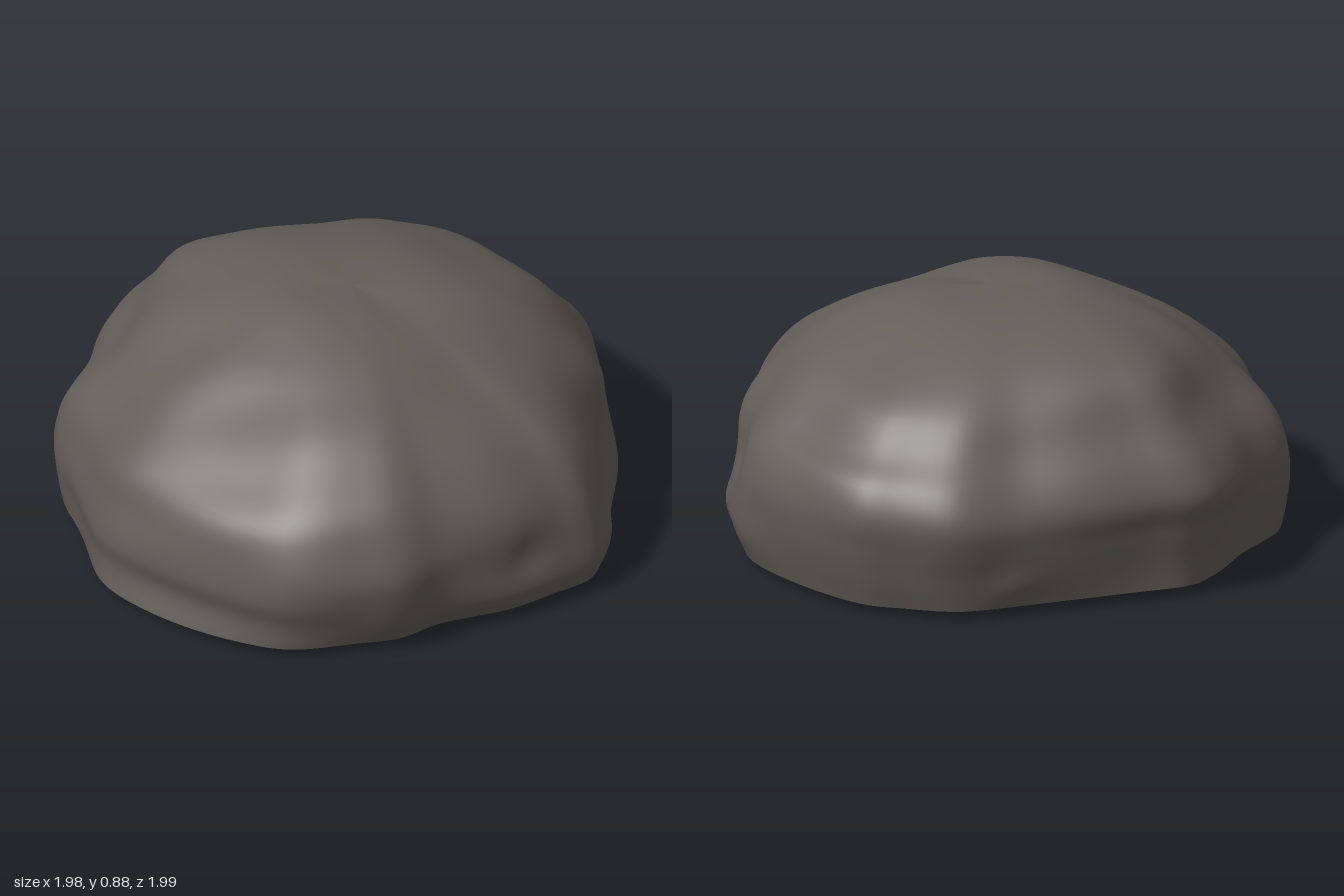
import * as THREE from 'three';

const SEGMENTS = 144;
const LEVELS = 54;

// Plan outline (x, z), running from the back round by the left side
const OUTLINE = [
  [0.06, -1], [0.24, -0.91], [0.61, -0.7], [0.83, -0.56], [0.93, -0.36], [0.985, -0.22],
  [0.975, 0.08], [0.92, 0.32], [0.87, 0.42], [0.75, 0.55], [0.61, 0.69], [0.4, 0.82],
  [0.22, 0.94], [0.07, 0.995], [-0.07, 0.96], [-0.26, 0.91], [-0.5, 0.79], [-0.67, 0.74],
  [-0.79, 0.63], [-0.94, 0.45], [-0.985, 0.24], [-0.985, -0.13], [-0.94, -0.34],
  [-0.79, -0.55], [-0.6, -0.81], [-0.31, -0.9], [-0.1, -0.98],
];

// Side profiles (fraction of outline, height) every 45 degrees, from +x toward +z
const PROFILES = [
  [[0.92, 0.03], [0.955, 0.14], [0.98, 0.25], [0.99, 0.36], [0.95, 0.47], [0.86, 0.55], [0.75, 0.67], [0.55, 0.77], [0.3, 0.86]],
  [[0.95, 0.035], [0.99, 0.12], [0.985, 0.22], [0.96, 0.34], [0.92, 0.45], [0.84, 0.57], [0.7, 0.7], [0.5, 0.81], [0.26, 0.87]],
  [[0.97, 0.04], [1, 0.12], [0.985, 0.24], [0.945, 0.38], [0.885, 0.48], [0.78, 0.59], [0.63, 0.695], [0.43, 0.795], [0.23, 0.85]],
  [[0.92, 0.035], [0.96, 0.12], [0.99, 0.22], [1, 0.32], [0.95, 0.45], [0.86, 0.57], [0.69, 0.7], [0.48, 0.8], [0.25, 0.865]],
  [[1, 0.03], [0.98, 0.12], [1, 0.22], [0.975, 0.35], [0.93, 0.46], [0.8, 0.57], [0.62, 0.7], [0.46, 0.795], [0.25, 0.875]],
  [[0.97, 0.03], [0.99, 0.12], [1, 0.22], [0.98, 0.33], [0.935, 0.45], [0.82, 0.575], [0.66, 0.705], [0.47, 0.81], [0.25, 0.877]],
  [[0.93, 0.04], [0.94, 0.14], [0.965, 0.26], [0.995, 0.37], [0.95, 0.47], [0.84, 0.59], [0.73, 0.74], [0.56, 0.825], [0.27, 0.88]],
  [[0.9, 0.035], [0.94, 0.14], [0.975, 0.25], [0.99, 0.36], [0.95, 0.46], [0.85, 0.57], [0.73, 0.69], [0.57, 0.785], [0.28, 0.867]],
];
const CROWN_HEIGHT = 0.88;

// Hollows and bulges: x, y, z, reach, amount
const DENTS = [
  [0.34, 0.25, 0.82, 0.13, -0.03], [0.54, 0.29, 0.7, 0.14, -0.045], [0.74, 0.36, 0.52, 0.12, -0.03],
  [0.6, 0.48, 0.58, 0.16, 0.02], [0.66, 0.5, -0.6, 0.2, -0.03], [0.74, 0.18, -0.55, 0.16, -0.015],
  [0.64, 0.1, -0.66, 0.06, 0.02], [-0.1, 0.74, 0.5, 0.16, -0.02], [-0.2, 0.5, 0.82, 0.2, 0.02],
  [-0.2, 0.23, 0.93, 0.09, -0.02], [-0.75, 0.6, -0.25, 0.2, 0.015],
  [-0.4, 0.6, -0.72, 0.18, -0.02], [-0.7, 0.14, -0.65, 0.11, -0.02],
  [0.1, 0.6, -0.85, 0.15, 0.01], [0.75, 0.55, 0.1, 0.15, -0.015],
];

function makeGeometry(positions, index) {
  const geometry = new THREE.BufferGeometry();
  geometry.setAttribute('position', new THREE.Float32BufferAttribute(positions, 3));
  geometry.setIndex(index);
  geometry.computeVertexNormals();
  return geometry;
}

function buildRings() {
  const outline = new THREE.CatmullRomCurve3(OUTLINE.map(([x, z]) => new THREE.Vector3(x, 0, z)), true);
  const profiles = PROFILES.map(p => new THREE.CatmullRomCurve3(
    [...p, [0, CROWN_HEIGHT]].map(([f, y]) => new THREE.Vector3(f, y, 0))));
  const rings = [];
  for (let j = 0; j < LEVELS; j++) {
    // Smooth loop through the eight profiles at this level
    const around = new THREE.CatmullRomCurve3(profiles.map(p => p.getPoint(j / LEVELS)), true, 'catmullrom');
    const ring = [];
    for (let i = 0; i < SEGMENTS; i++) {
      const edge = outline.getPoint(i / SEGMENTS);
      const s = around.getPoint((Math.atan2(edge.z, edge.x) / (2 * Math.PI) + 1) % 1);
      // The outline's fine lobes fade toward the crown
      const lobes = THREE.MathUtils.smoothstep(s.x, 0.1, 0.9);
      const reach = s.x * THREE.MathUtils.lerp(0.97 / edge.length(), 1, lobes);
      const p = new THREE.Vector3(edge.x * reach, s.y, edge.z * reach);
      let push = 0;
      for (const [x, y, z, r, amount] of DENTS) {
        const d2 = (p.x - x) ** 2 + (p.y - y) ** 2 + (p.z - z) ** 2;
        push += amount * Math.exp(-d2 / (r * r));
      }
      // Gentle weathered ripple, kept off the rim and crown
      const fade = Math.sin(Math.PI * j / LEVELS);
      push += 0.006 * fade * Math.sin(p.x * 11 + p.y * 7) * Math.sin(p.z * 10 - p.y * 9 + 1);
      const out = new THREE.Vector3(p.x, (p.y - 0.25) * 0.9, p.z).normalize();
      p.addScaledVector(out, push);
      ring.push(p);
    }
    rings.push(ring);
  }
  return rings;
}

// Rounded upper body, closed by a single crown point
function stoneGeometry(rings) {
  const positions = rings.flat().flatMap(p => [p.x, p.y, p.z]);
  positions.push(0, CROWN_HEIGHT, 0);
  const index = [];
  const crown = LEVELS * SEGMENTS;
  for (let j = 0; j < LEVELS; j++) {
    for (let i = 0; i < SEGMENTS; i++) {
      const n = (i + 1) % SEGMENTS;
      const a = j * SEGMENTS + i, b = j * SEGMENTS + n;
      if (j === LEVELS - 1) index.push(a, crown, b);
      else index.push(a, a + SEGMENTS, b, b, a + SEGMENTS, b + SEGMENTS);
    }
  }
  return makeGeometry(positions, index);
}

// Slightly bowed underside
function baseGeometry(rim) {
  const positions = [];
  for (const scale of [1, 0.5]) {
    for (const p of rim) positions.push(p.x * scale, scale === 1 ? p.y : 0.01, p.z * scale);
  }
  positions.push(0, 0, 0);
  const index = [];
  for (let i = 0; i < SEGMENTS; i++) {
    const n = (i + 1) % SEGMENTS;
    index.push(i, n, i + SEGMENTS, n, n + SEGMENTS, i + SEGMENTS);
    index.push(i + SEGMENTS, n + SEGMENTS, 2 * SEGMENTS);
  }
  return makeGeometry(positions, index);
}

export function createModel() {
  const stone = new THREE.MeshStandardMaterial({ color: 0x625e58 });
  stone.name = 'grey stone';
  const rings = buildRings();

  const group = new THREE.Group();
  group.name = 'boulder';
  const body = new THREE.Mesh(stoneGeometry(rings), stone);
  body.name = 'stoneBody';
  const base = new THREE.Mesh(baseGeometry(rings[0]), stone);
  base.name = 'underside';
  group.add(body, base);
  return group;
}
